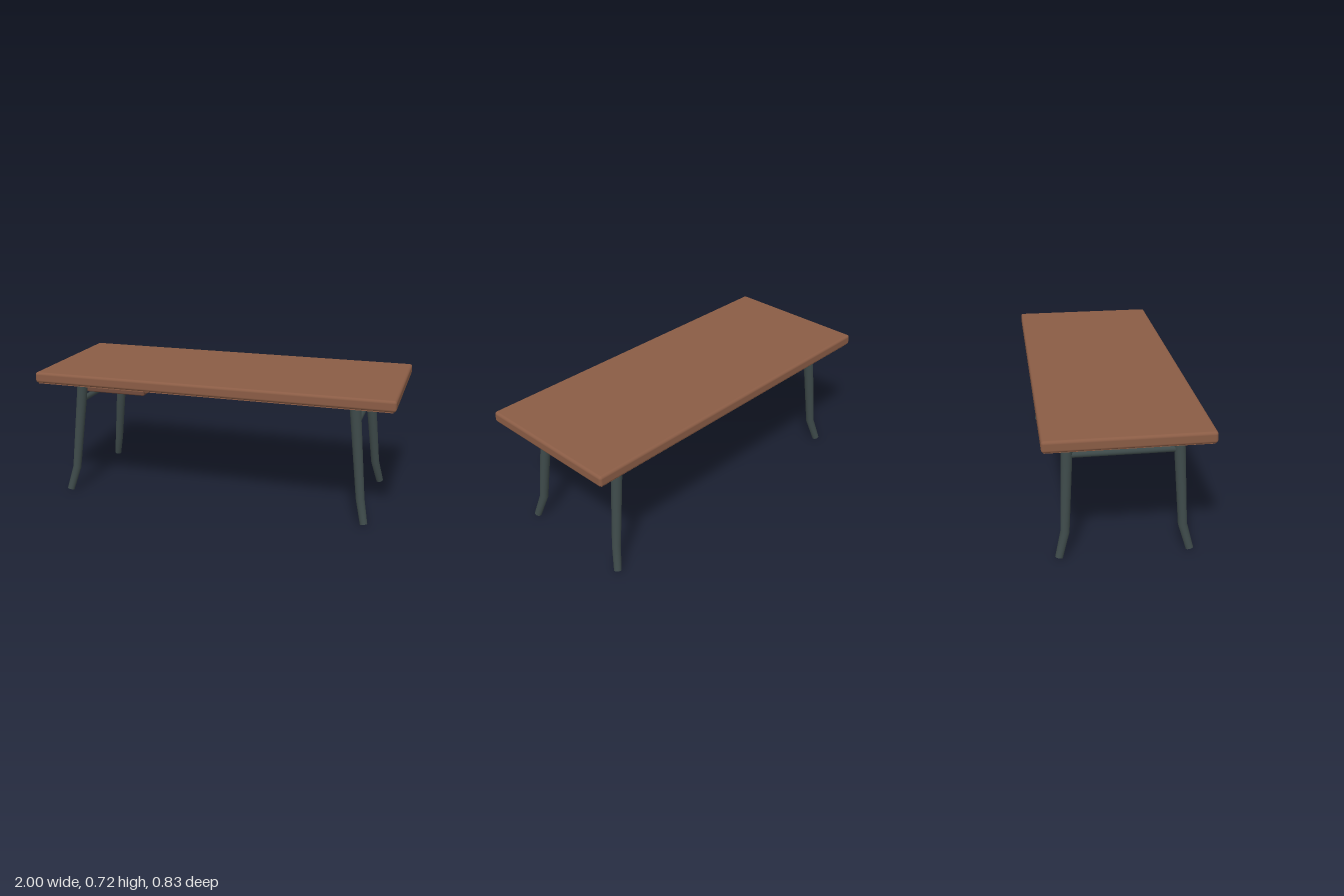
import * as THREE from 'three';
import { RoundedBoxGeometry } from 'three/addons/geometries/RoundedBoxGeometry.js';

const wood = new THREE.MeshStandardMaterial({ color: 0x8a5c45 });
wood.name = 'walnut';
const darkWood = new THREE.MeshStandardMaterial({ color: 0x6f4a3b });
darkWood.name = 'darkWalnut';
const metal = new THREE.MeshStandardMaterial({ color: 0x3c4848 });
metal.name = 'darkMetal';

function add(parent, name, geometry, material, x = 0, y = 0, z = 0) {
  const mesh = new THREE.Mesh(geometry, material);
  mesh.name = name;
  mesh.position.set(x, y, z);
  parent.add(mesh);
  return mesh;
}

// Splayed leg: a cylinder whose three rings follow top, knee and foot
function legGeometry(sx, sz) {
  const at = (x, y, z) => new THREE.Vector3(x * sx, y, z * sz);
  const centres = [at(0.86, 0.007, 0.335), at(0.83, 0.137, 0.3), at(0.776, 0.652, 0.276)];
  const radii = [0.02, 0.0235, 0.03];
  const lower = centres[1].clone().sub(centres[0]).normalize();
  const upper = centres[2].clone().sub(centres[1]).normalize();
  const axes = [lower, lower.clone().add(upper).normalize(), upper];
  const up = new THREE.Vector3(0, 1, 0);
  const turns = axes.map((axis) => new THREE.Quaternion().setFromUnitVectors(up, axis));

  const geometry = new THREE.CylinderGeometry(1, 1, 2, 24, 2);
  const position = geometry.attributes.position;
  const normal = geometry.attributes.normal;
  const v = new THREE.Vector3();
  for (let i = 0; i < position.count; i++) {
    const ring = Math.round(position.getY(i)) + 1;
    v.set(position.getX(i), 0, position.getZ(i)).multiplyScalar(radii[ring]);
    v.applyQuaternion(turns[ring]).add(centres[ring]);
    position.setXYZ(i, v.x, v.y, v.z);
    v.fromBufferAttribute(normal, i).applyQuaternion(turns[ring]);
    normal.setXYZ(i, v.x, v.y, v.z);
  }
  return geometry;
}

export function createModel() {
  const table = new THREE.Group();
  table.name = 'desk';

  // Top with a thin inset panel beneath
  add(table, 'tabletop', new RoundedBoxGeometry(2, 0.06, 0.83, 4, 0.015), wood, 0, 0.69, 0);
  add(table, 'undersidePanel', new THREE.BoxGeometry(1.97, 0.008, 0.805), wood, 0, 0.659, 0);

  // Legs and the side rails joining each pair
  for (const sx of [1, -1]) {
    const side = sx > 0 ? 'left' : 'right';
    for (const sz of [1, -1]) {
      add(table, side + (sz > 0 ? 'FrontLeg' : 'BackLeg'), legGeometry(sx, sz), metal);
    }
    const rail = new THREE.CylinderGeometry(0.0165, 0.0165, 0.55, 16).rotateX(Math.PI / 2);
    add(table, side + 'Rail', rail, metal, sx * 0.787, 0.543, 0);
  }

  // Hanging drawer with its pull
  const drawer = new THREE.Group();
  drawer.name = 'drawer';
  drawer.position.set(-0.61, 0.615, -0.035);
  table.add(drawer);
  add(drawer, 'drawerBox', new RoundedBoxGeometry(0.36, 0.082, 0.5, 3, 0.008), darkWood);
  add(drawer, 'drawerPull', new RoundedBoxGeometry(0.12, 0.016, 0.011, 2, 0.004), wood, 0, 0, 0.258);

  return table;
}
